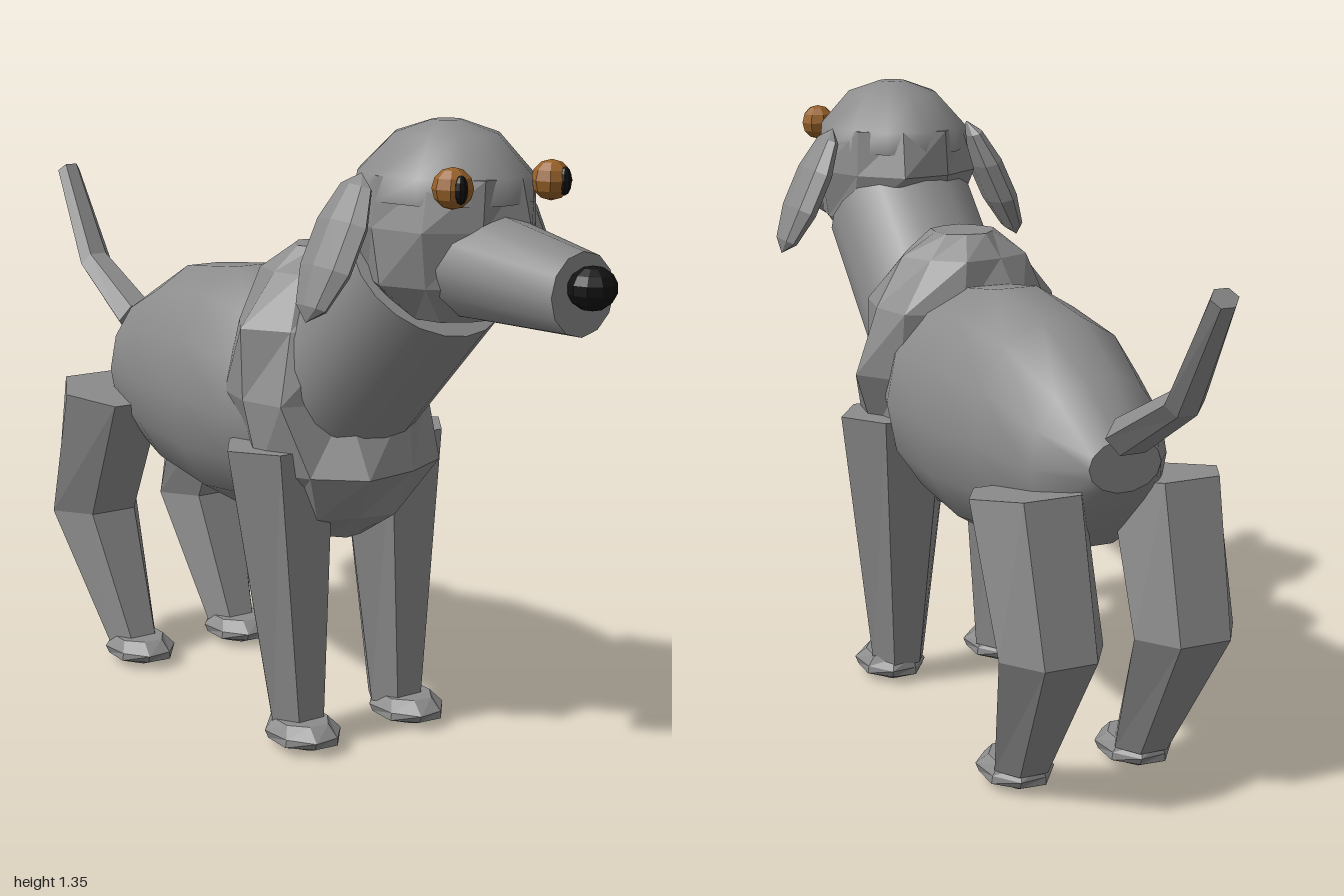
import * as THREE from 'three';

const coat = new THREE.MeshStandardMaterial({ color: 0x8c8c8c });
coat.name = 'grey coat';
const iris = new THREE.MeshStandardMaterial({ color: 0x9a6229 });
iris.name = 'brown eye';
const black = new THREE.MeshStandardMaterial({ color: 0x121212 });
black.name = 'black';

// Turns a geometry into hard facets
function facet(geo) {
  const g = geo.index ? geo.toNonIndexed() : geo;
  g.computeVertexNormals();
  return g;
}

// Closed loft. Each ring: [x, y, z, radius across, radius other, tilt in degrees].
// Tilt 0 faces +z, tilt 90 faces down; rings advance along that facing.
function loft(rings, n, { flat = true, ripple = 0, turn = 0 } = {}) {
  const pos = [], idx = [];
  const addRing = ([x, y, z, ru, rv, tilt], r) => {
    const t = THREE.MathUtils.degToRad(tilt);
    for (let i = 0; i < n; i++) {
      const a = ((i + turn) / n) * Math.PI * 2;
      const k = 1 + ripple * ((i + r) % 2 ? 1 : -1);
      const v = Math.sin(a) * rv * k;
      pos.push(x + Math.cos(a) * ru * k, y + v * Math.cos(t), z + v * Math.sin(t));
    }
  };
  rings.forEach(addRing);
  for (let r = 0; r < rings.length - 1; r++) {
    for (let i = 0; i < n; i++) {
      const j = (i + 1) % n, a = r * n, b = a + n;
      idx.push(a + i, a + j, b + j, a + i, b + j, b + i);
    }
  }
  // End caps on their own corners, so their rims stay sharp
  const last = rings.length - 1;
  const s = rings.length * n, e = s + n;
  addRing(rings[0], 0);
  addRing(rings[last], last);
  for (let i = 1; i < n - 1; i++) {
    idx.push(s, s + i + 1, s + i, e, e + i, e + i + 1);
  }
  const g = new THREE.BufferGeometry();
  g.setAttribute('position', new THREE.Float32BufferAttribute(pos, 3));
  g.setIndex(idx);
  if (flat) return facet(g);
  g.computeVertexNormals();
  return g;
}

export function createModel() {
  const dog = new THREE.Group();
  dog.name = 'dog';
  const add = (name, geo, mat = coat) => {
    const m = new THREE.Mesh(geo, mat);
    m.name = name;
    dog.add(m);
    return m;
  };

  // Smooth barrel of the body, from rump to shoulders
  add('torso', loft([
    [0, 0.715, -0.63, 0.08, 0.055, 0],
    [0, 0.695, -0.52, 0.155, 0.18, 0],
    [0, 0.71, -0.35, 0.2, 0.25, 0],
    [0, 0.708, -0.14, 0.22, 0.277, 0],
    [0, 0.705, 0.05, 0.22, 0.25, 0],
    [0, 0.7, 0.25, 0.15, 0.2, 0],
  ], 14, { flat: false }));

  // Faceted shoulders and breast
  add('chest', loft([
    [0, 1.06, 0.13, 0.07, 0.07, 90],
    [0, 1.01, 0.13, 0.14, 0.12, 90],
    [0, 0.9, 0.14, 0.215, 0.17, 90],
    [0, 0.75, 0.15, 0.24, 0.17, 90],
    [0, 0.6, 0.19, 0.205, 0.19, 90],
    [0, 0.5, 0.18, 0.14, 0.14, 90],
    [0, 0.44, 0.16, 0.07, 0.08, 90],
  ], 10, { ripple: 0.05 }));

  // Smooth slanted neck
  const neck = add('neck', new THREE.CylinderGeometry(0.17, 0.17, 0.5, 20));
  neck.position.set(0, 0.875, 0.305);
  neck.rotation.x = Math.PI / 4;

  // Head: smooth crown over faceted cheeks
  add('crown', loft([
    [0, 1.35, 0.53, 0.03, 0.03, 90],
    [0, 1.325, 0.53, 0.1, 0.11, 90],
    [0, 1.25, 0.525, 0.165, 0.19, 90],
    [0, 1.2, 0.525, 0.17, 0.195, 90],
  ], 12, { flat: false }));
  add('cheeks', loft([
    [0, 1.25, 0.525, 0.162, 0.19, 90],
    [0, 1.15, 0.52, 0.18, 0.205, 90],
    [0, 1.04, 0.54, 0.165, 0.16, 90],
    [0, 0.97, 0.56, 0.1, 0.1, 90],
  ], 10, { ripple: 0.03 }));
  add('snout', loft([
    [0, 1.085, 0.52, 0.13, 0.12, 0],
    [0, 1.08, 0.64, 0.12, 0.11, 0],
    [0, 1.06, 0.93, 0.077, 0.08, 0],
  ], 12, { flat: false }));
  const nose = add('nose', facet(new THREE.SphereGeometry(1, 10, 7)), black);
  nose.scale.set(0.048, 0.042, 0.046);
  nose.position.set(0, 1.075, 0.955);

  // Bent tail, tip to root
  add('tail', loft([
    [0, 1.113, -0.98, 0.03, 0.023, 40],
    [0, 0.893, -0.85, 0.043, 0.03, 24],
    [0, 0.78, -0.647, 0.055, 0.042, 17],
  ], 6));

  for (const s of [1, -1]) {
    const side = s > 0 ? 'left' : 'right';

    // Drooping ear
    const ear = add(side + 'Ear', facet(new THREE.SphereGeometry(1, 8, 5)));
    ear.scale.set(0.033, 0.155, 0.08);
    ear.position.set(s * 0.235, 1.112, 0.48);
    ear.rotation.z = s * 0.44;

    // Eye with a narrow pupil
    const eye = add(side + 'Eye', facet(new THREE.SphereGeometry(0.04, 8, 6)), iris);
    eye.position.set(s * 0.122, 1.24, 0.7);
    const pupil = add(side + 'Pupil', facet(new THREE.SphereGeometry(1, 8, 6)), black);
    pupil.scale.set(0.014, 0.028, 0.012);
    pupil.position.set(s * 0.128, 1.24, 0.732);

    // Six-sided tapered legs
    add(side + 'FrontLeg', loft([
      [s * 0.145, 0.652, 0.171, 0.135, 0.11, 90],
      [s * 0.132, 0.045, 0.213, 0.063, 0.062, 90],
    ], 6));
    add(side + 'HindLeg', loft([
      [s * 0.155, 0.65, -0.51, 0.125, 0.134, 98],
      [s * 0.15, 0.345, -0.615, 0.115, 0.1, 90],
      [s * 0.14, 0.045, -0.465, 0.063, 0.064, 90],
    ], 6));

    // Flat paws
    for (const [name, z] of [['FrontPaw', 0.245], ['HindPaw', -0.43]]) {
      add(side + name, loft([
        [s * 0.14, 0.06, z - 0.01, 0.058, 0.075, 90],
        [s * 0.14, 0.035, z, 0.076, 0.098, 90],
        [s * 0.14, 0.018, z, 0.074, 0.092, 90],
        [s * 0.14, 0, z - 0.005, 0.035, 0.045, 90],
      ], 8, { ripple: 0.03, turn: 0.5 }));
    }
  }
  return dog;
}
